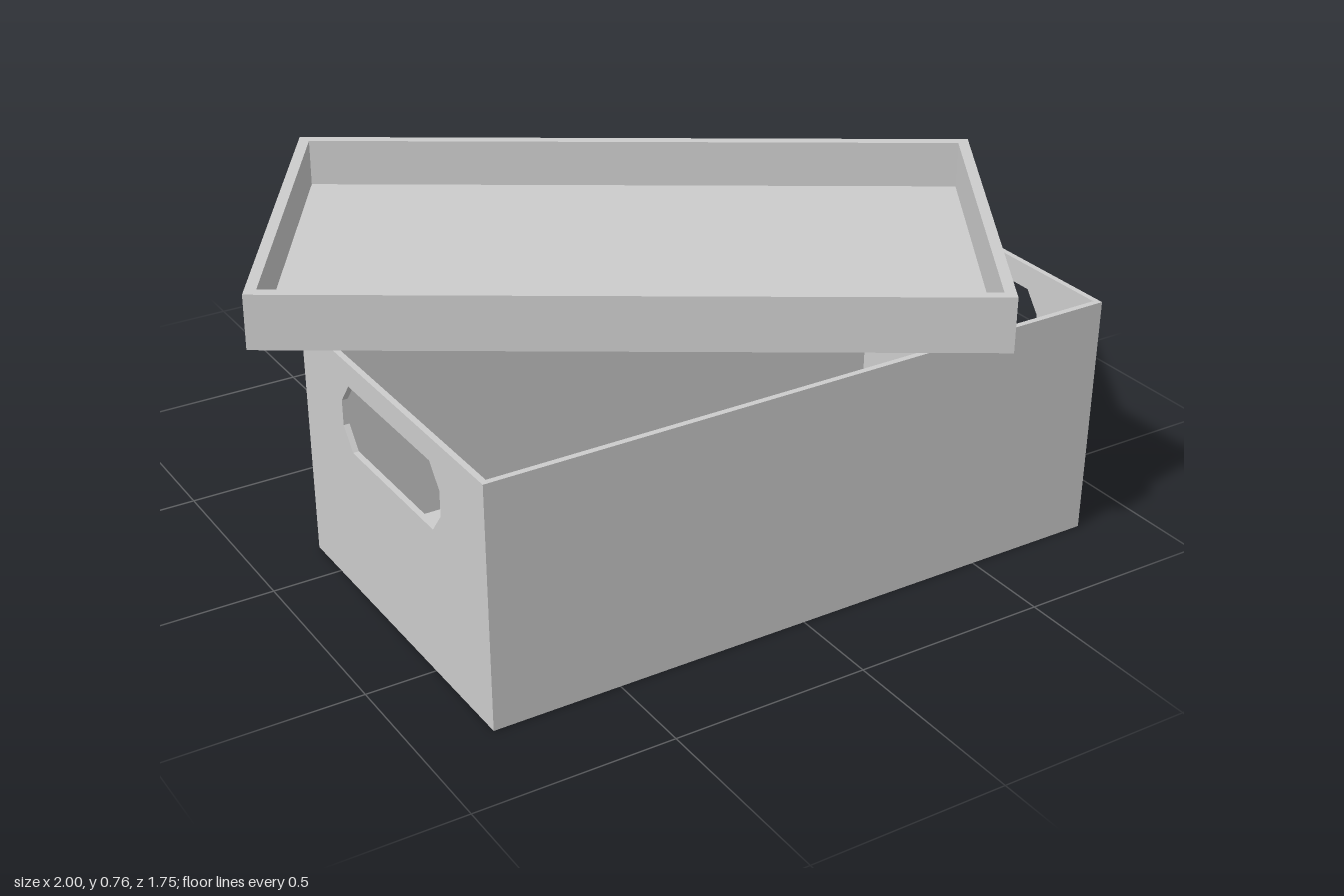
import * as THREE from 'three';

const grey = new THREE.MeshStandardMaterial({ color: 0xcccccc });
grey.name = 'grey';

function part(name, geometry, parent, x = 0, y = 0, z = 0) {
  const mesh = new THREE.Mesh(geometry, grey);
  mesh.name = name;
  mesh.position.set(x, y, z);
  parent.add(mesh);
  return mesh;
}

// Rectangle outline centred on the origin
function rect(Target, w, d) {
  return new Target([[-1, -1], [1, -1], [1, 1], [-1, 1]].map(([a, b]) => new THREE.Vector2(a * w / 2, b * d / 2)));
}

// End panel with an eight-sided hand hole, lying in the yz plane
function endPanelGeometry(depth, height, t) {
  const shape = new THREE.Shape();
  shape.moveTo(-depth / 2, 0).lineTo(depth / 2, 0).lineTo(depth / 2, height).lineTo(-depth / 2, height).closePath();
  const w = 0.243, y0 = 0.383, y1 = 0.556, cx = 0.042, cy = 0.054;
  const outline = [
    [-w, y0 + cy], [-w, y1 - cy], [-w + cx, y1], [w - cx, y1],
    [w, y1 - cy], [w, y0 + cy], [w - cx, y0], [-w + cx, y0],
  ];
  shape.holes.push(new THREE.Path(outline.map(([a, b]) => new THREE.Vector2(a, b))));
  return new THREE.ExtrudeGeometry(shape, { depth: t, bevelEnabled: false }).rotateY(-Math.PI / 2);
}

export function createModel() {
  const model = new THREE.Group();
  model.name = 'storageBoxWithLid';

  // Open box
  const W = 1.657, D = 0.897, H = 0.617, T = 0.015;
  const box = new THREE.Group();
  box.name = 'box';
  box.position.set(0.006, 0, 0.3215);
  model.add(box);

  part('boxFloor', new THREE.BoxGeometry(W - 2 * T, T, D - 2 * T), box, 0, T / 2, 0);
  for (const s of [-1, 1]) {
    part(s > 0 ? 'frontWall' : 'backWall', new THREE.BoxGeometry(W - T, H, T), box, 0, H / 2, s * (D - T) / 2);
    // The ends lean out slightly towards the rim
    const end = part(s > 0 ? 'leftEnd' : 'rightEnd', endPanelGeometry(D, H, T), box, s > 0 ? W / 2 : -W / 2 + T, 0, 0);
    end.rotation.z = -s * 0.012;
  }

  // Upturned lid, turned across the box
  const LW = 1.75, LD = 0.97, LH = 0.14, LT = 0.028, floorT = 0.018;
  const lid = new THREE.Group();
  lid.name = 'lid';
  lid.position.y = 0.619;
  lid.rotation.y = -THREE.MathUtils.degToRad(32);
  model.add(lid);

  const rim = rect(THREE.Shape, LW, LD);
  rim.holes.push(rect(THREE.Path, LW - 2 * LT, LD - 2 * LT));
  part('lidRim', new THREE.ExtrudeGeometry(rim, { depth: LH, bevelEnabled: false }).rotateX(-Math.PI / 2), lid);
  part('lidPanel', new THREE.BoxGeometry(LW - 2 * LT, floorT, LD - 2 * LT), lid, 0, floorT / 2, 0);

  return model;
}
